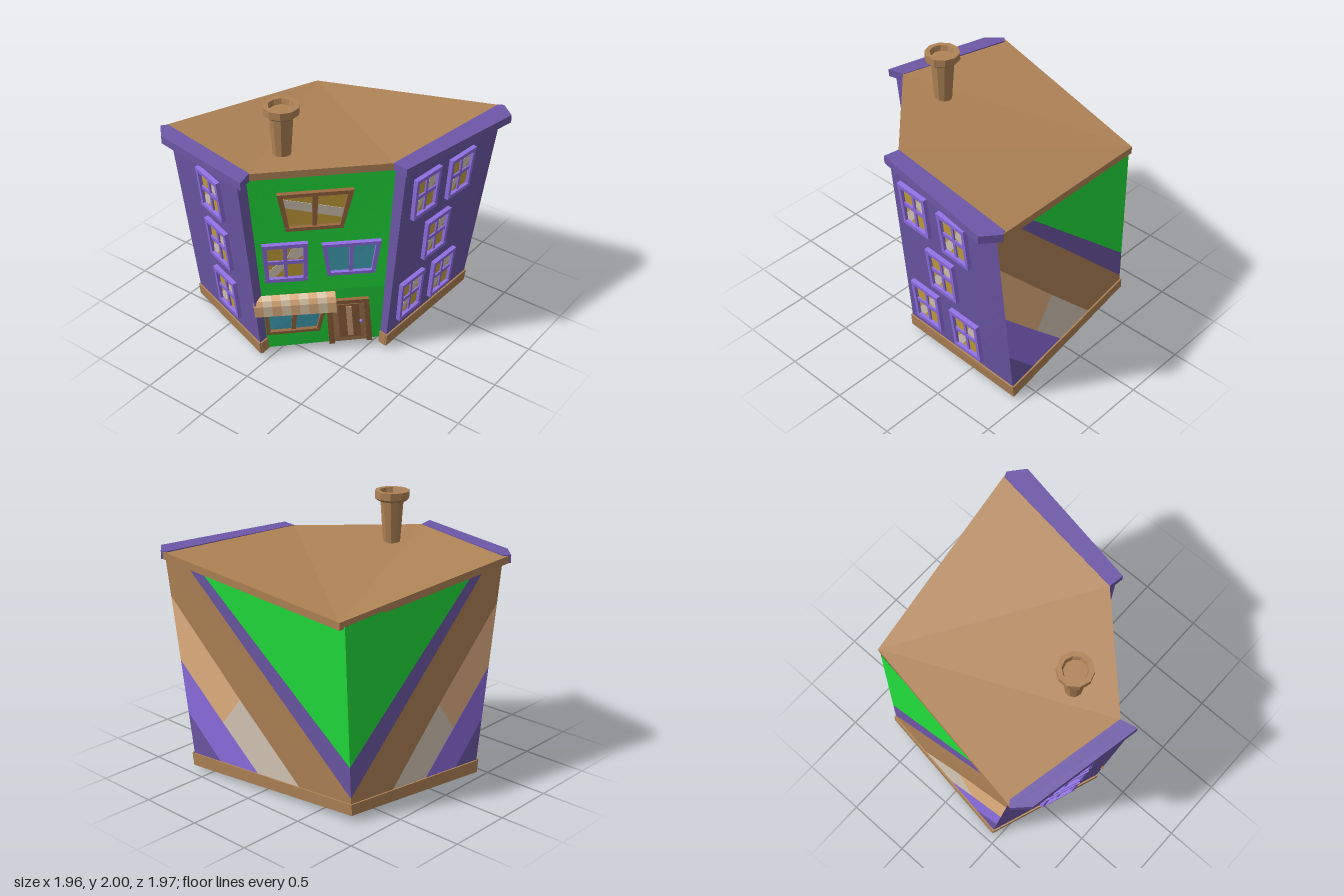
import * as THREE from 'three';

const mat = (name, color) => {
  const m = new THREE.MeshStandardMaterial({ color, side: THREE.DoubleSide });
  m.name = name;
  return m;
};
const V = (x, y, z) => new THREE.Vector3(x, y, z);

// Flat-shaded geometry from triangles of points
function flat(tris) {
  const g = new THREE.BufferGeometry().setFromPoints(tris);
  g.computeVertexNormals();
  return g;
}
function fan(pts) {
  const t = [];
  for (let i = 1; i < pts.length - 1; i++) t.push(pts[0], pts[i], pts[i + 1]);
  return t;
}
// Solid between two matching convex loops, wound outward
function prism(A, B) {
  const t = [...fan(A), ...fan([B[0], ...B.slice(1).reverse()])];
  A.forEach((a, i) => {
    const j = (i + 1) % A.length;
    t.push(a, B[i], B[j], a, B[j], A[j]);
  });
  let vol = 0;
  const o = A[0];
  for (let i = 0; i < t.length; i += 3) {
    const [a, b, c] = [0, 1, 2].map(k => t[i + k].clone().sub(o));
    vol += a.dot(b.cross(c));
  }
  if (vol < 0) t.reverse();
  return flat(t);
}

// Wall from four corners seen from outside; axis is the one measured along it
function wall(axis, bl, br, tr, tl) {
  const P = (u, v) => bl.clone().lerp(br, u).lerp(tl.clone().lerp(tr, u), v);
  const n = P(1, 0.5).sub(P(0, 0.5)).cross(P(0.5, 1).sub(P(0.5, 0))).normalize();
  const at = (a, y) => {
    let u = 0.5, v = 0.5;
    for (let i = 0; i < 8; i++) {
      const b = P(u, 0).y, l = P(0, v)[axis];
      v = (y - b) / (P(u, 1).y - b);
      u = (a - l) / (P(1, v)[axis] - l);
    }
    return P(u, v);
  };
  const slab = (pts, d0, d1) => prism(pts.map(p => p.clone().addScaledVector(n, d1)),
    pts.map(p => p.clone().addScaledVector(n, d0)));
  // Slightly twisted sheet from height fraction v0 to the top
  const sheet = (v0 = 0, k = 10) => {
    const t = [], Q = (i, j) => P(i / k, v0 + (1 - v0) * j / k);
    for (let i = 0; i < k; i++) for (let j = 0; j < k; j++)
      t.push(...fan([Q(i, j), Q(i + 1, j), Q(i + 1, j + 1), Q(i, j + 1)]));
    return flat(t);
  };
  return { P, n, at, slab, sheet };
}

export function createModel() {
  const root = new THREE.Group();
  root.name = 'cornerHouse';
  const purple = mat('wall purple', 0x6e58a8), violet = mat('frame violet', 0x9070e4),
    green = mat('wall green', 0x22e03c), brown = mat('roof brown', 0xb08356),
    dark = mat('dark wood', 0x98693f), yellow = mat('lit glass', 0xc8a23a),
    pale = mat('glass shine', 0xd8cab8), teal = mat('teal glass', 0x42a8bc),
    orange = mat('awning orange', 0xeab684), cream = mat('awning cream', 0xffe6c4);
  const add = (name, geo, m, parent = root) => {
    const mesh = new THREE.Mesh(geo, m);
    mesh.name = name;
    parent.add(mesh);
    return mesh;
  };
  const group = name => {
    const g = new THREE.Group();
    g.name = name;
    root.add(g);
    return g;
  };

  // Leaning walls
  const FL0 = V(-0.925, 0, 0.44), FL1 = V(-0.935, 1.59, 0.66);
  const A0 = V(-0.06, 0.03, 0.755), A1 = V(-0.05, 1.62, 0.96);
  const B0 = V(-0.06, 0.03, 0.68), B1 = V(-0.05, 1.62, 0.865);
  const C0 = V(0.565, 0.03, 0.12), C1 = V(0.675, 1.62, 0.14);
  const D0 = V(0.625, 0.03, 0.13), D1 = V(0.767, 1.62, 0.15);
  const BR0 = V(0.65, 0.02, -0.92), BR1 = V(0.87, 1.62, -0.945);
  const BL0 = V(-0.77, 0.045, -0.745), BL1 = V(-0.725, 1.41, -0.765);
  const wing = wall('x', FL0, A0, A1, FL1), wingEnd = wall('z', A0, B0, B1, A1);
  const front = wall('x', B0, C0, C1, B1), sideEnd = wall('x', C0, D0, D1, C1);
  // The shop level sinks in towards the door
  const shop = wall('x', B0, V(0.57, 0.03, 0.045), front.P(1, 0.34), front.P(0, 0.34));
  const side = wall('z', D0, BR0, BR1, D1);
  const back = wall('x', BR0, BL0, BL1, BR1), left = wall('z', BL0, FL0, FL1, BL1);
  add('leftWingWall', wing.sheet(), purple);
  add('leftWingEnd', wingEnd.sheet(), purple);
  add('frontWall', front.sheet(0.34), green);
  add('shopWall', shop.sheet(), green);
  add('rightWingEnd', sideEnd.sheet(), purple);
  add('rightWingWall', side.sheet(), purple);

  // Diagonal stripes fanning out from the rear corner on both plain walls
  const stripes = [
    [green, [[0, 1], [0, 0.26], [0.8, 1]]],
    [purple, [[0, 0.26], [0, 0.09], [0.88, 1], [0.8, 1]]],
    [brown, [[0, 0.09], [0, 0], [0.26, 0], [0.64, 0.416], [1, 0.81], [1, 1], [0.88, 1]]],
    [orange, [[0.64, 0.416], [0.77, 0.266], [1, 0.51], [1, 0.81]]],
    [pale, [[0.26, 0], [0.52, 0], [0.77, 0.266], [0.64, 0.416]]],
    [violet, [[0.52, 0], [0.77, 0], [1, 0.26], [1, 0.51], [0.77, 0.266]]],
    [purple, [[0.77, 0], [1, 0], [1, 0.26]]],
  ];
  const patch = (w, uv) => flat(fan(uv.map(([u, v]) => w.P(u, v))));
  for (const [m, uv] of stripes) {
    add('backWallStripe', patch(back, uv.map(([u, v]) => [1 - u, v])), m);
    add('leftWallStripe', patch(left, uv), m);
  }

  // Base boards
  for (const [w, h] of [[wing, 0.064], [wingEnd, 0.064], [sideEnd, 0.064], [side, 0.064], [back, 0.06], [left, 0.06]]) {
    const pts = [[-0.008, 0], [1.008, 0], [1.008, h], [-0.008, h]].map(([u, v]) => w.P(u, v));
    add('baseBoard', w.slab(pts, -0.005, 0.012), brown);
  }

  // Roof slab sloping to the rear corner, with purple cornices over the wings
  const slabDown = (pts, h) => prism(pts, pts.map(p => p.clone().setY(p.y - h)));
  add('roof', slabDown([V(-0.71, 1.445, -0.8), V(-0.97, 1.63, 0.69), V(-0.03, 1.657, 0.855),
    V(0.67, 1.657, 0.16), V(0.86, 1.657, -0.985)], 0.055), brown);
  add('leftCornice', slabDown([V(-0.98, 1.635, 0.7), V(-0.94, 1.637, 0.66), V(-0.03, 1.66, 0.85),
    V(0, 1.66, 0.98), V(-0.87, 1.637, 0.81)], 0.06), purple);
  add('rightCornice', slabDown([V(0.67, 1.66, 0.16), V(0.79, 1.66, 0.18), V(0.98, 1.66, -0.89),
    V(0.86, 1.66, -0.99), V(0.82, 1.66, -0.97)], 0.06), purple);

  // Chimney with a flared pot
  const profile = [[0.058, 1.5], [0.088, 1.93], [0.105, 1.925], [0.13, 1.945], [0.13, 2],
    [0.092, 2], [0.082, 1.96], [0, 1.96]].map(p => new THREE.Vector2(...p));
  const pot = new THREE.LatheGeometry(profile, 10).toNonIndexed();
  pot.computeVertexNormals();
  add('chimney', pot, brown).position.set(-0.06, 0, 0.46);

  // Window inside a four-cornered outline [bl, br, tr, tl] of (along, height)
  const shines = {
    panes: [[[0.54, 0.6], [0.74, 0.54], [0.92, 0.66], [0.92, 0.92], [0.68, 0.92]],
      [[0.1, 0.1], [0.26, 0.1], [0.46, 0.32], [0.46, 0.46], [0.34, 0.46], [0.1, 0.26]]],
    band: [[[0.06, 0.6], [0.94, 0.24], [0.94, 0.48], [0.06, 0.83]]],
    none: [],
  };
  function win(name, w, c, { frame, glass, cross = true, shine = 'none', f = 0.1 }) {
    const g = group(name);
    const q = (s, t) => {
      const mix = k => (c[0][k] * (1 - s) + c[1][k] * s) * (1 - t) + (c[3][k] * (1 - s) + c[2][k] * s) * t;
      return w.at(mix(0), mix(1));
    };
    const poly = (n, st, d, m) => add(n, w.slab(st.map(p => q(...p)), 0.002, d), m, g);
    const rect = (n, s0, t0, s1, t1, d, m) => poly(n, [[s0, t0], [s1, t0], [s1, t1], [s0, t1]], d, m);
    rect('glass', f / 2, f / 2, 1 - f / 2, 1 - f / 2, 0.009, glass);
    for (const st of shines[shine]) poly('shine', st, 0.012, pale);
    rect('frameLeft', 0, 0, f, 1, 0.034, frame);
    rect('frameRight', 1 - f, 0, 1, 1, 0.034, frame);
    rect('sill', 0, 0, 1, 0.09, 0.036, frame);
    rect('head', 0, 0.91, 1, 1, 0.036, frame);
    rect('mullion', 0.46, 0.05, 0.54, 0.95, 0.022, frame);
    if (cross) rect('crossBar', 0.05, 0.45, 0.95, 0.54, 0.022, frame);
  }
  const box = (a0, a1, y0, y1) => [[a0, y0], [a1, y0], [a1, y1], [a0, y1]];
  const sash = { frame: violet, glass: yellow, shine: 'panes' };
  for (const y of [0.225, 0.695, 1.155]) win('leftWingWindow', wing, box(-0.555, -0.285, y, y + 0.345), sash);
  for (const [z, y] of [[0.05, 1.155], [-0.355, 1.13], [-0.17, 0.675], [0.05, 0.22], [-0.355, 0.195]])
    win('rightWingWindow', side, [[z - 0.02, y], [z - 0.285, y], [z - 0.28, y + 0.35], [z, y + 0.35]], sash);
  win('frontSashWindow', front, [[-0.025, 0.7], [0.195, 0.7], [0.215, 1.04], [-0.02, 1.04]], sash);
  win('atticWindow', front, [[0.11, 1.16], [0.4, 1.16], [0.465, 1.48], [0.085, 1.48]],
    { frame: dark, glass: yellow, cross: false, shine: 'band', f: 0.07 });
  win('tealWindow', front, [[0.3, 0.73], [0.55, 0.73], [0.59, 1.015], [0.285, 1.015]],
    { frame: violet, glass: teal, cross: false, f: 0.08 });
  win('shopWindow', shop, [[-0.055, 0.19], [0.225, 0.19], [0.29, 0.47], [-0.055, 0.47]],
    { frame: dark, glass: teal, cross: false, f: 0.07 });

  // Door with raised frame, slit light and knob
  const door = group('door');
  const doorPart = (n, a0, a1, y0, y1, d, m) =>
    add(n, shop.slab([[a0, y0], [a1, y0], [a1 + (y1 - y0) * 0.03, y1], [a0 + (y1 - y0) * 0.03, y1]]
      .map(p => shop.at(...p)), 0.002, d), m, door);
  doorPart('doorLeaf', 0.28, 0.48, 0.035, 0.47, 0.012, brown);
  doorPart('doorPostLeft', 0.265, 0.295, 0.03, 0.475, 0.028, dark);
  doorPart('doorPostRight', 0.465, 0.495, 0.03, 0.475, 0.028, dark);
  doorPart('doorHead', 0.275, 0.505, 0.44, 0.475, 0.03, dark);
  doorPart('doorPanel', 0.325, 0.44, 0.08, 0.42, 0.018, dark);
  doorPart('doorLight', 0.37, 0.4, 0.1, 0.4, 0.024, orange);
  add('doorKnob', new THREE.SphereGeometry(0.014, 10, 8), violet, door)
    .position.copy(shop.at(0.45, 0.245).addScaledVector(shop.n, 0.025));

  // Striped curved awning
  const awning = group('awning');
  const curve = [[0.55, -0.01], [0.55, 0.015], [0.53, 0.042], [0.49, 0.06], [0.4, 0.065], [0.4, 0.055], [0.47, -0.01]];
  const N = 9, a0 = -0.105, a1 = 0.335;
  for (let i = 0; i < N; i++) {
    const loop = k => curve.map(([y, d]) =>
      front.at(a0 + (a1 - a0) * k / N, y).addScaledVector(front.n, d));
    add('awningStripe', prism(loop(i), loop(i + 1)), i % 2 ? cream : orange, awning);
  }
  return root;
}
